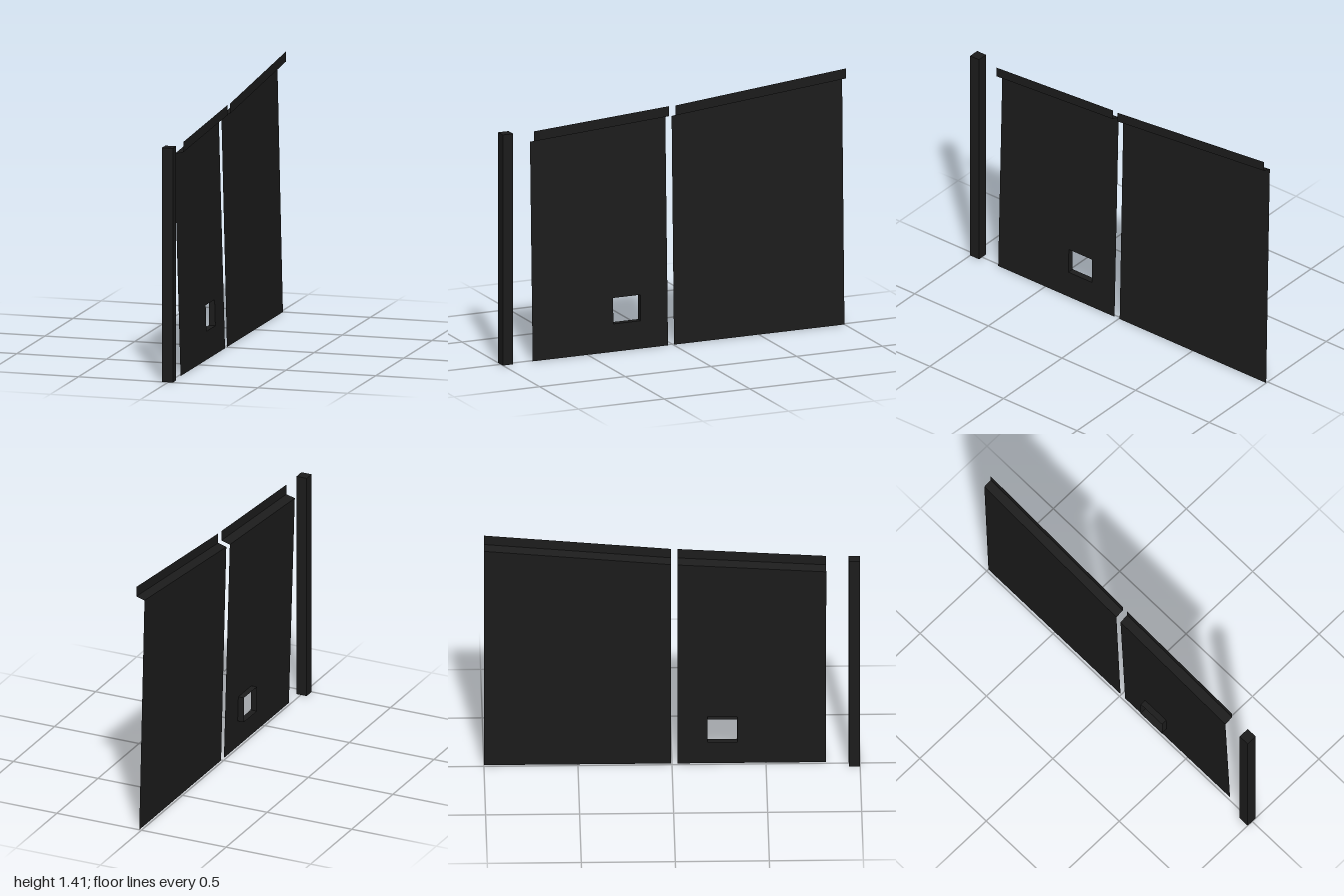
import * as THREE from 'three';

const material = new THREE.MeshStandardMaterial({ color: 0x1c1c1c, side: THREE.DoubleSide, flatShading: true });
const BOTTOM_X = 0.013;

function addMesh(parent, name, geometry) {
  const mesh = new THREE.Mesh(geometry, material);
  mesh.name = name;
  parent.add(mesh);
  return mesh;
}

// Flat sheet between two edges of equal point count
function strip(edgeA, edgeB) {
  const pos = [];
  for (let i = 0; i < edgeA.length - 1; i++) {
    const a = edgeA[i], b = edgeA[i + 1], c = edgeB[i + 1], d = edgeB[i];
    pos.push(...a, ...b, ...c, ...a, ...c, ...d);
  }
  const g = new THREE.BufferGeometry();
  g.setAttribute('position', new THREE.Float32BufferAttribute(pos, 3));
  g.computeVertexNormals();
  return g;
}

// Leaning sheet with a folded ledge and an upstand along its sloping top
function createPanel(name, { z0, z1, y0, y1, innerX, outerX, hole }) {
  const group = new THREE.Group();
  group.name = name;
  const topAt = (z) => y0 + ((y1 - y0) * (z - z0)) / (z1 - z0);
  const leanX = (y, z) => BOTTOM_X + ((innerX - BOTTOM_X) * y) / topAt(z);

  const shape = new THREE.Shape([[z0, 0], [z1, 0], [z1, y1], [z0, y0]].map((p) => new THREE.Vector2(...p)));
  let corners = [];
  if (hole) {
    corners = [[hole.z0, hole.y0], [hole.z0, hole.y1], [hole.z1, hole.y1], [hole.z1, hole.y0]];
    shape.holes.push(new THREE.Path(corners.map((p) => new THREE.Vector2(...p))));
  }
  const sheet = new THREE.ShapeGeometry(shape);
  const p = sheet.attributes.position;
  for (let i = 0; i < p.count; i++) {
    const z = p.getX(i), y = p.getY(i);
    p.setXYZ(i, leanX(y, z), y, z);
  }
  // turn the triangles to face +x after swapping the axes
  sheet.setIndex([...sheet.index.array].reverse());
  sheet.computeVertexNormals();
  addMesh(group, 'sheet', sheet);

  // top fold: inner edge, outer edge, upper rim
  const edge = (x, dy) => [[x, y0 + dy, z0], [x, y1 + dy, z1]];
  addMesh(group, 'ledge', strip(edge(innerX, 0), edge(outerX, 0.014)));
  addMesh(group, 'upstand', strip(edge(outerX, 0.014), edge(outerX, 0.069)));

  // reveal around the opening
  if (hole) {
    const ring = [...corners, corners[0]];
    addMesh(group, 'openingReveal', strip(
      ring.map(([z, y]) => [leanX(y, z), y, z]),
      ring.map(([z, y]) => [hole.backX, y, z])
    ));
  }
  return group;
}

export function createModel() {
  const model = new THREE.Group();
  model.name = 'fencePanels';

  // free-standing post at the front end
  addMesh(model, 'post', new THREE.BoxGeometry(0.06, 1.27, 0.06)).position.set(-0.004, 0.635, 0.97);

  model.add(createPanel('frontPanel', {
    z0: 0.82, z1: 0.03, y0: 1.201, y1: 1.252, innerX: -0.022, outerX: 0.028,
    hole: { z0: 0.347, z1: 0.188, y0: 0.152, y1: 0.294, backX: -0.028 },
  }));
  model.add(createPanel('backPanel', {
    z0: -0.005, z1: -1, y0: 1.252, y1: 1.345, innerX: -0.018, outerX: 0.03,
  }));
  return model;
}
